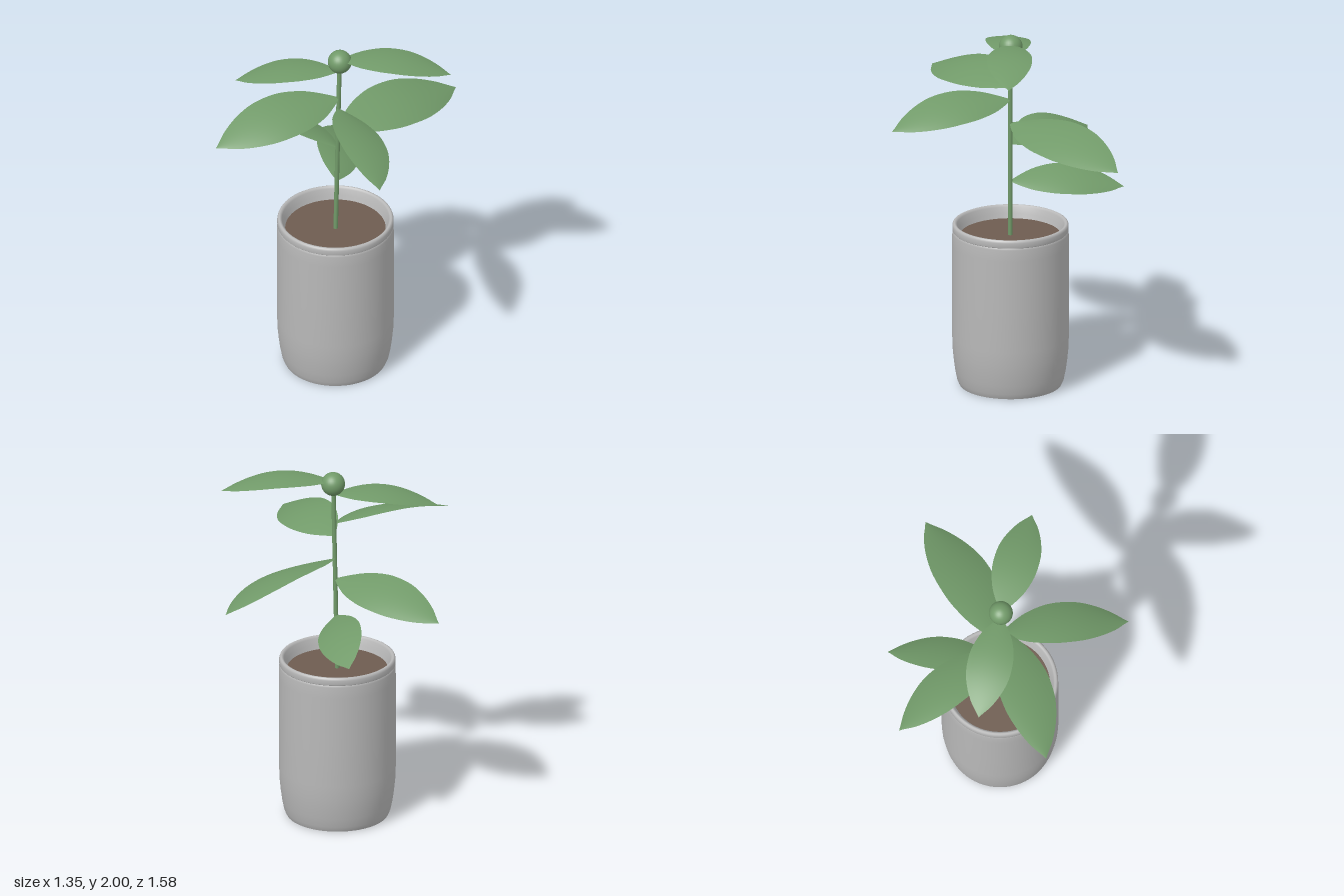
import * as THREE from 'three';

const POT_Z = 0.05;

// Half-width of a leaf along its length, as [t, width factor]
const OUTLINE = [[0, 0.03], [0.08, 0.34], [0.2, 0.7], [0.35, 0.94], [0.48, 1], [0.62, 0.95],
  [0.76, 0.74], [0.88, 0.44], [0.96, 0.14], [1, 0]].map(([t, w]) => new THREE.Vector2(t, w));
const outlineCurve = new THREE.SplineCurve(OUTLINE);

// Arched, slightly domed blade from base to tip; positive roll lifts its right side
function leafGeometry(base, tip, width, arch, roll) {
  const forward = tip.clone().sub(base);
  const length = forward.length();
  forward.normalize();
  const right = forward.clone().cross(new THREE.Vector3(0, 1, 0)).normalize();
  const up = right.clone().cross(forward);
  right.applyAxisAngle(forward, -roll);
  up.applyAxisAngle(forward, -roll);

  const rows = 28, cols = 10;
  const positions = [], indices = [];
  for (let i = 0; i <= rows; i++) {
    const o = outlineCurve.getPoint(i / rows);
    const half = Math.max(0, o.y) * width / 2;
    for (let j = 0; j <= cols; j++) {
      const s = (j / cols) * 2 - 1;
      const lift = arch * Math.sin(Math.PI * o.x) - 0.1 * half * s * s;
      const p = base.clone()
        .addScaledVector(forward, o.x * length)
        .addScaledVector(right, s * half)
        .addScaledVector(up, lift);
      positions.push(p.x, p.y, p.z);
      if (i < rows && j < cols) {
        const a = i * (cols + 1) + j, b = a + cols + 1;
        indices.push(a, a + 1, b, b, a + 1, b + 1);
      }
    }
  }
  const g = new THREE.BufferGeometry();
  g.setAttribute('position', new THREE.Float32BufferAttribute(positions, 3));
  g.setIndex(indices);
  g.computeVertexNormals();
  return g;
}

export function createModel() {
  const group = new THREE.Group();
  const ceramic = new THREE.MeshStandardMaterial({ color: 0xb8b8b8 });
  ceramic.name = 'greyCeramic';
  const soilMat = new THREE.MeshStandardMaterial({ color: 0x6e5c50 });
  soilMat.name = 'brownSoil';
  const green = new THREE.MeshStandardMaterial({ color: 0x719a69, side: THREE.DoubleSide });
  green.name = 'leafGreen';

  const add = (name, geometry, material, x = 0, y = 0, z = 0) => {
    const mesh = new THREE.Mesh(geometry, material);
    mesh.name = name;
    mesh.position.set(x, y, z);
    group.add(mesh);
    return mesh;
  };
  const lathe = (points) =>
    new THREE.LatheGeometry(points.map(([r, y]) => new THREE.Vector2(r, y)), 64);

  // Pot wall, tapering gently at the foot
  add('potBody', lathe([[0.282, 0.01], [0.29, 0.03], [0.3, 0.08], [0.308, 0.14], [0.314, 0.2],
    [0.317, 0.28], [0.317, 0.5], [0.317, 0.8], [0.316, 0.865], [0.311, 0.875]]), ceramic, 0.002, 0, POT_Z);
  // Flat underside and low foot
  add('potBase', new THREE.CylinderGeometry(0.283, 0.277, 0.014, 64), ceramic, 0.002, 0.007, POT_Z);
  // Rounded rim and sloping inner wall
  add('potRim', lathe([[0.311, 0.875], [0.316, 0.88], [0.316, 0.905], [0.312, 0.916], [0.305, 0.92],
    [0.297, 0.918], [0.29, 0.908], [0.28, 0.875], [0.268, 0.835]]), ceramic, 0.002, 0, POT_Z);
  // Soil surface
  const soil = add('soil', new THREE.CircleGeometry(0.275, 64), soilMat, 0.002, 0.85, POT_Z);
  soil.rotation.x = -Math.PI / 2;

  // Slightly leaning stem with a round bud on top
  const stemBase = new THREE.Vector3(0.004, 0.84, 0.05);
  const stemTop = new THREE.Vector3(0.018, 1.94, 0.034);
  add('stem', new THREE.TubeGeometry(new THREE.LineCurve3(stemBase, stemTop), 8, 0.0125, 12), green);
  add('bud', new THREE.SphereGeometry(0.065, 32, 20), green, 0.017, 1.935, 0.032);

  // Leaves: base height, tip position, width, arch, roll
  const leaves = [
    [1.16, [-0.49, 1.105, -0.325], 0.25, 0.05, -0.42],
    [1.375, [-0.68, 1.29, 0.165], 0.285, 0.06, -0.36],
    [1.495, [-0.008, 1.41, -0.793], 0.325, 0.06, -0.31],
    [1.63, [0.672, 1.54, 0.275], 0.285, 0.06, 0.34],
    [1.7, [-0.108, 1.62, 0.79], 0.31, 0.06, 0.29],
    [1.875, [-0.35, 1.80, 0.465], 0.245, 0.045, -0.04],
    [1.95, [0.44, 1.89, -0.403], 0.245, 0.05, 0],
  ];
  leaves.forEach(([y, tip, width, arch, roll], i) => {
    const t = (y - stemBase.y) / (stemTop.y - stemBase.y);
    const base = stemBase.clone().lerp(stemTop, t);
    add(`leaf${i + 1}`, leafGeometry(base, new THREE.Vector3(...tip), width, arch, roll), green);
  });

  return group;
}
